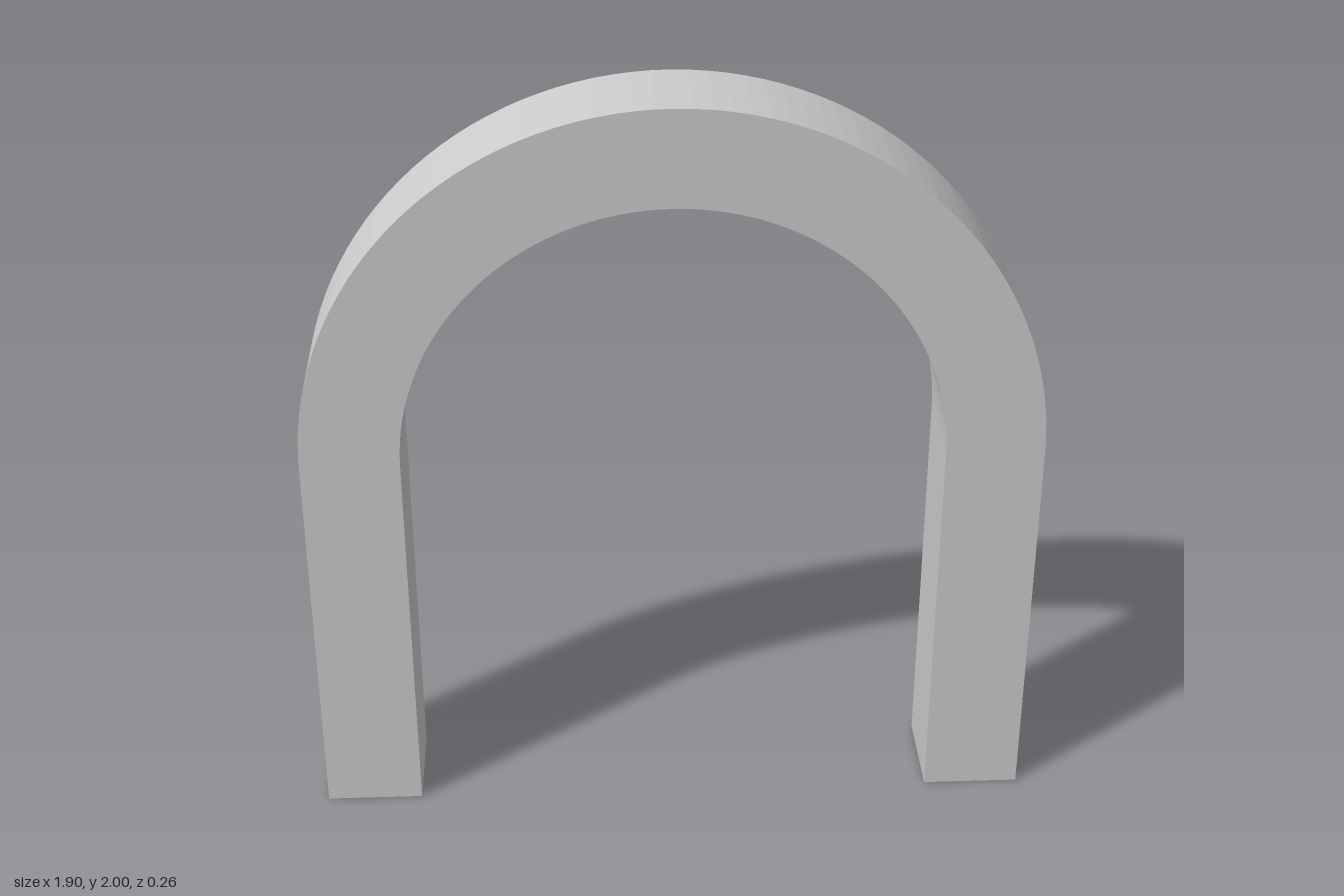
import * as THREE from 'three';

export function createModel() {
  const outer = 0.95, inner = 0.695, spring = 1.05, depth = 0.26;

  // Arch outline: two straight legs joined by a half ring
  const outline = new THREE.Shape();
  outline.moveTo(inner, 0);
  outline.lineTo(outer, 0);
  outline.lineTo(outer, spring);
  outline.absarc(0, spring, outer, 0, Math.PI, false);
  outline.lineTo(-outer, 0);
  outline.lineTo(-inner, 0);
  outline.lineTo(-inner, spring);
  outline.absarc(0, spring, inner, Math.PI, 0, true);
  outline.closePath();

  const geometry = new THREE.ExtrudeGeometry(outline, {
    depth, bevelEnabled: false, curveSegments: 32,
  });
  geometry.translate(0, 0, -depth / 2);

  const arch = new THREE.Mesh(
    geometry,
    new THREE.MeshStandardMaterial({ color: 0xcccccc, flatShading: true }),
  );
  arch.name = 'arch';

  const group = new THREE.Group();
  group.name = 'archway';
  group.add(arch);
  return group;
}
